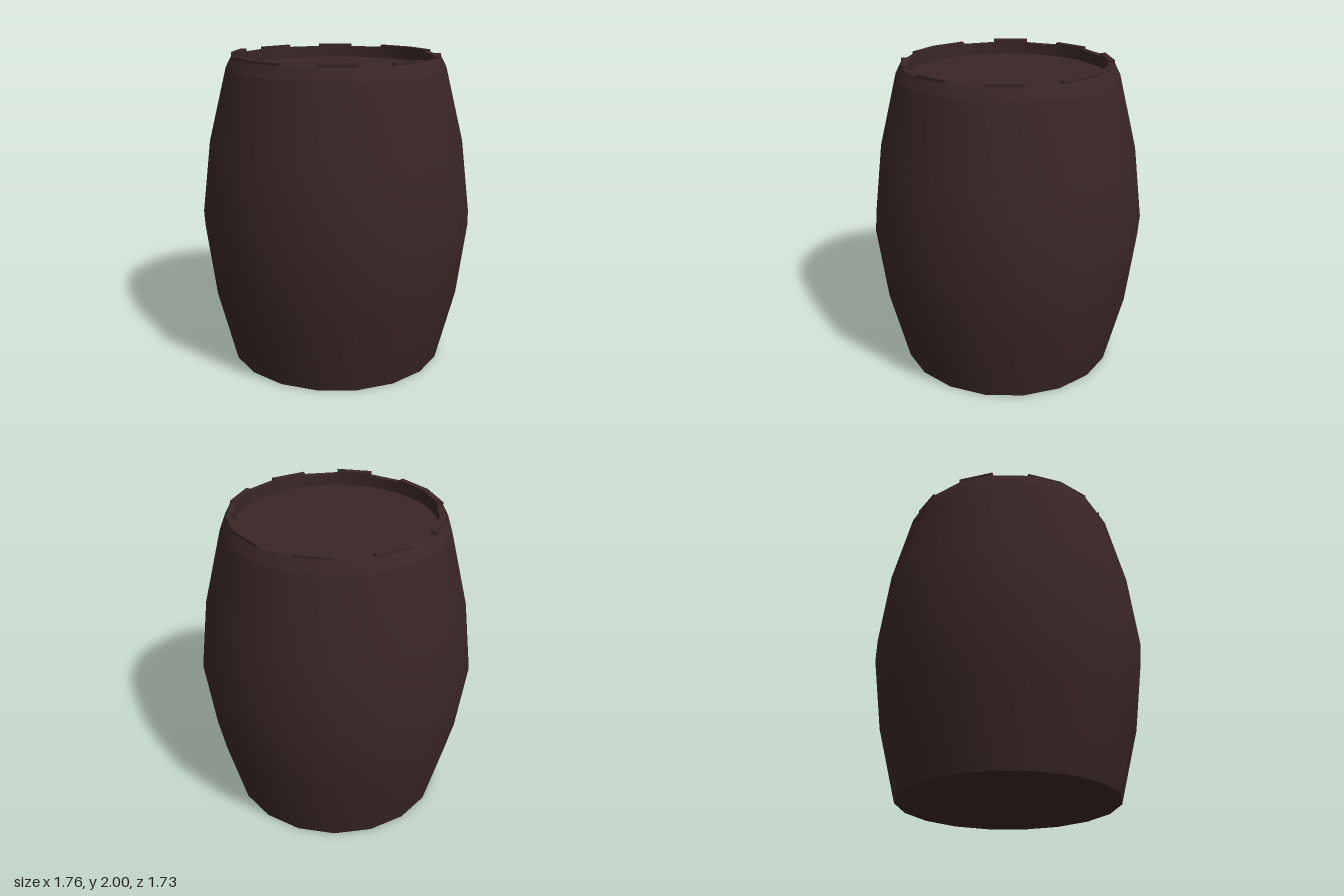
import * as THREE from 'three';

const SIDES = 18;
const RIM_OUT = 0.663, RIM_IN = 0.625, RIM_Y = 1.977, LID_Y = 1.905;

export function createModel() {
  const barrel = new THREE.Group();
  barrel.name = 'barrel';
  const wood = new THREE.MeshStandardMaterial({ color: 0x3a2626 });
  wood.name = 'darkWood';

  const add = (name, geometry) => {
    const mesh = new THREE.Mesh(geometry, wood);
    mesh.name = name;
    barrel.add(mesh);
  };

  // Each turned section is its own lathe, so the edges between them stay sharp.
  const turned = (name, profile) => add(name, new THREE.LatheGeometry(
    profile.map(([r, y]) => new THREE.Vector2(r, y)), SIDES, Math.PI / 2));

  turned('bottom', [[0, 0], [0.7, 0]]);
  turned('body', [[0.7, 0], [0.82, 0.48], [0.88, 0.955], [0.82, 1.43], [0.7, LID_Y]]);
  turned('chamfer', [[0.7, LID_Y], [RIM_OUT, RIM_Y]]);
  turned('rimTop', [[RIM_OUT, RIM_Y], [RIM_IN, RIM_Y]]);
  turned('rimInside', [[RIM_IN, RIM_Y], [RIM_IN, LID_Y]]);
  turned('lid', [[RIM_IN, LID_Y], [0, LID_Y]]);

  // Raised stave ends: every other side, mirrored front to back.
  const step = (Math.PI * 2) / SIDES;
  for (const k of [0, 2, 4, 6, 8, 9, 11, 13, 15, 17]) {
    const corner = (r, i) => new THREE.Vector2(r * Math.cos(i * step), -r * Math.sin(i * step));
    const outline = new THREE.Shape([
      corner(RIM_OUT, k), corner(RIM_OUT, k + 1), corner(RIM_IN, k + 1), corner(RIM_IN, k)]);
    const top = k === 6 || k === 11 ? 2 : 1.993;
    const end = new THREE.ExtrudeGeometry(outline, { depth: top - RIM_Y, bevelEnabled: false });
    end.rotateX(-Math.PI / 2).translate(0, RIM_Y, 0);
    add('staveEnd', end);
  }
  return barrel;
}
